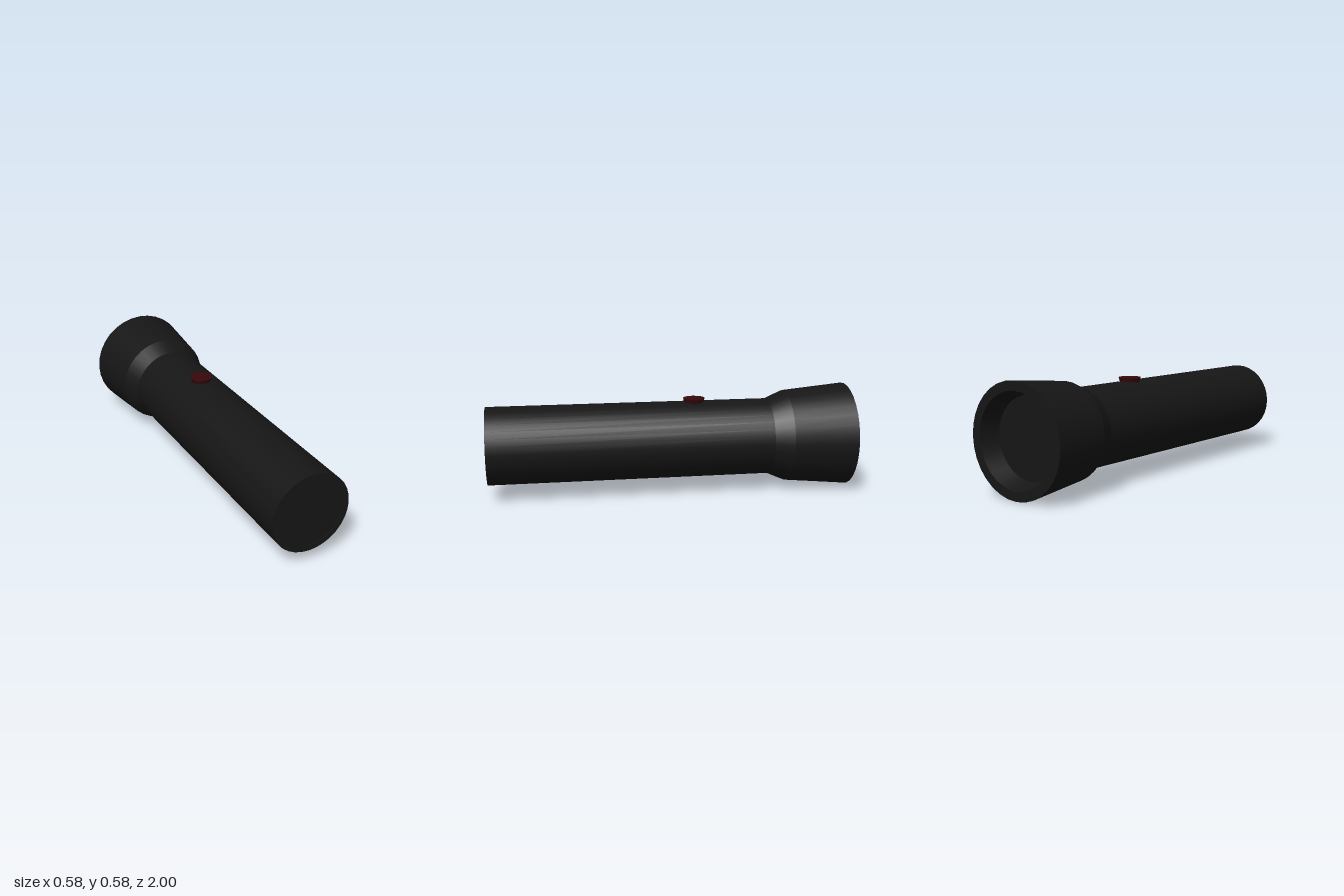
import * as THREE from 'three';
import { mergeGeometries } from 'three/addons/utils/BufferGeometryUtils.js';

const AXIS_Y = 0.289;
const SIDES = 32;

// Revolve a profile of [radius, z] points about the z axis, with a sharp edge at every point.
function revolve(name, profile, material) {
  const bands = [];
  for (let i = 0; i < profile.length - 1; i++) {
    const ends = [profile[i], profile[i + 1]].map(([r, z]) => new THREE.Vector2(r, z));
    bands.push(new THREE.LatheGeometry(ends, SIDES));
  }
  const mesh = new THREE.Mesh(mergeGeometries(bands).rotateX(Math.PI / 2), material);
  mesh.name = name;
  mesh.position.y = AXIS_Y;
  return mesh;
}

export function createModel() {
  const group = new THREE.Group();
  group.name = 'flashlight';
  const black = new THREE.MeshStandardMaterial({ color: 0x161616 });
  const red = new THREE.MeshStandardMaterial({ color: 0x36080c });

  // Recessed lens and the sloping wall around it
  group.add(revolve('lens', [[0, -0.9], [0.21, -0.9]], black));
  group.add(revolve('head', [[0.21, -0.9], [0.24, -1], [0.288, -1], [0.255, -0.65], [0.212, -0.55]], black));

  // Straight handle, with a shallow seam around the tail cap
  group.add(revolve('handle', [[0.212, -0.55], [0.212, 1], [0.184, 1], [0.184, 0.997]], black));
  group.add(revolve('tailCap', [[0.184, 0.997], [0, 0.997]], black));

  // Round switch, wider at the top
  const button = new THREE.Mesh(new THREE.CylinderGeometry(0.06, 0.05, 0.035, SIDES), red);
  button.name = 'switchButton';
  button.position.set(0, 0.5025, -0.135);
  group.add(button);

  return group;
}
